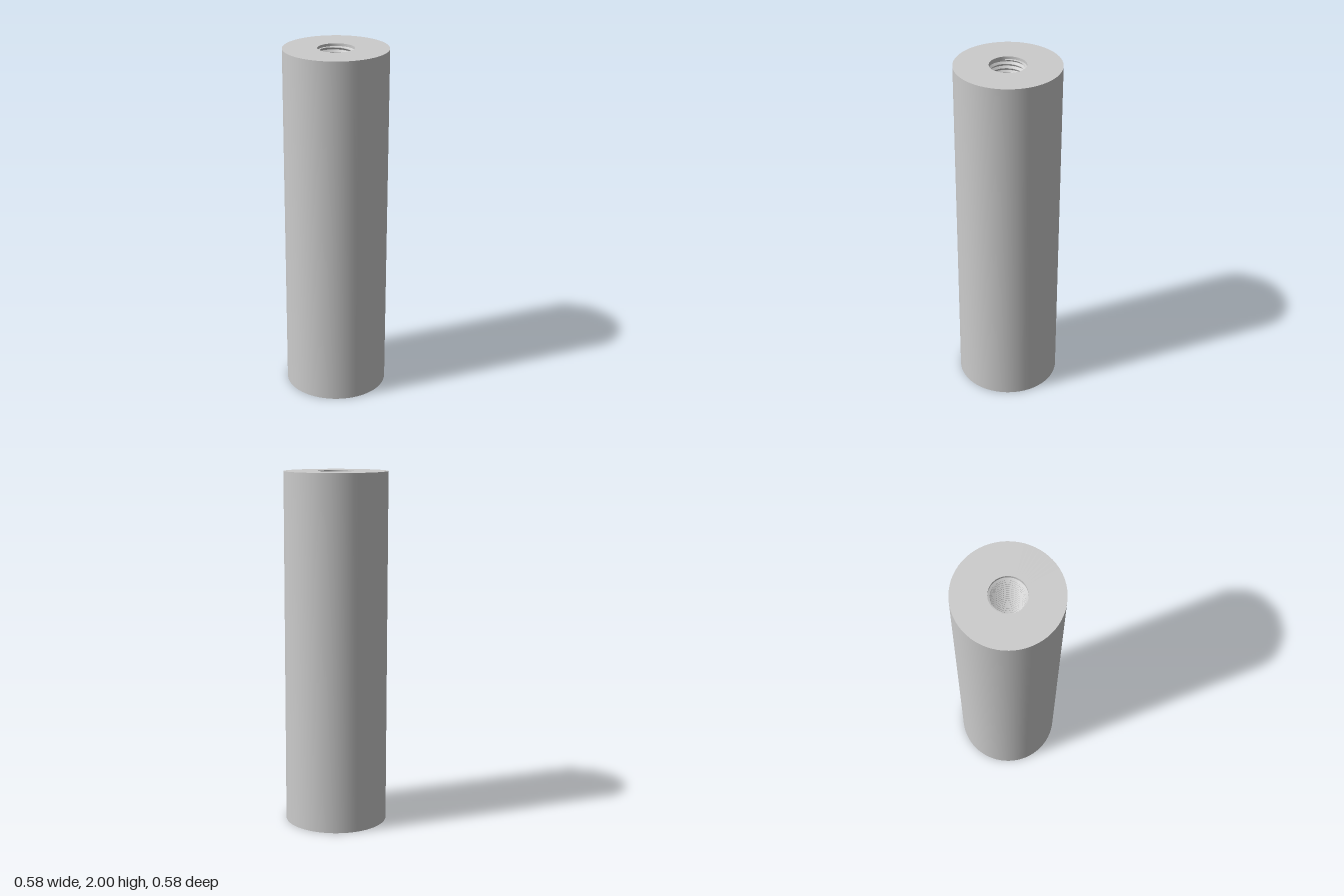
import * as THREE from 'three';
import { toCreasedNormals } from 'three/addons/utils/BufferGeometryUtils.js';

const OUTER = 0.29, BORE = 0.101, CREST = 0.0895;
const THREAD_BOTTOM = 0.05, THREAD_TOP = 1.985, PITCH = 0.025;
const SEGMENTS = 64;

// Internal screw thread: a helical sheet whose radius follows a repeating profile
function threadGeometry() {
  const profile = [[0, BORE], [0.1, BORE], [0.5, CREST], [0.6, CREST]];
  const rows = Math.ceil((THREAD_TOP - THREAD_BOTTOM) / PITCH + 2) * profile.length;
  const positions = [], index = [];
  for (let k = 0; k <= rows; k++) {
    const [offset, radius] = profile[k % profile.length];
    const turn = Math.floor(k / profile.length) - 1;
    for (let j = 0; j <= SEGMENTS; j++) {
      const a = (j / SEGMENTS) * Math.PI * 2;
      const y = THREAD_BOTTOM + PITCH * (turn + offset + j / SEGMENTS);
      const clamped = THREE.MathUtils.clamp(y, THREAD_BOTTOM, THREAD_TOP);
      const r = y === clamped ? radius : BORE;
      positions.push(r * Math.sin(a), clamped, r * Math.cos(a));
      if (k < rows && j < SEGMENTS) {
        const p = k * (SEGMENTS + 1) + j, up = p + SEGMENTS + 1;
        index.push(p, up, p + 1, p + 1, up, up + 1);
      }
    }
  }
  const geometry = new THREE.BufferGeometry();
  geometry.setAttribute('position', new THREE.Float32BufferAttribute(positions, 3));
  geometry.setIndex(index);
  return toCreasedNormals(geometry, 0.5);
}

export function createModel() {
  const group = new THREE.Group();
  group.name = 'threadedSpacer';
  const material = new THREE.MeshStandardMaterial({ color: 0xcccccc, side: THREE.DoubleSide });

  // Round body with flat ends and a short plain lip at each mouth of the bore
  const outline = [
    [BORE, THREAD_BOTTOM], [BORE, 0], [OUTER, 0],
    [OUTER, 2], [BORE, 2], [BORE, THREAD_TOP],
  ].map(([r, y]) => new THREE.Vector2(r, y));
  const body = new THREE.Mesh(toCreasedNormals(new THREE.LatheGeometry(outline, SEGMENTS), 0.5), material);
  body.name = 'body';

  // Thread running through the bore
  const thread = new THREE.Mesh(threadGeometry(), material);
  thread.name = 'boreThread';

  group.add(body, thread);
  return group;
}
